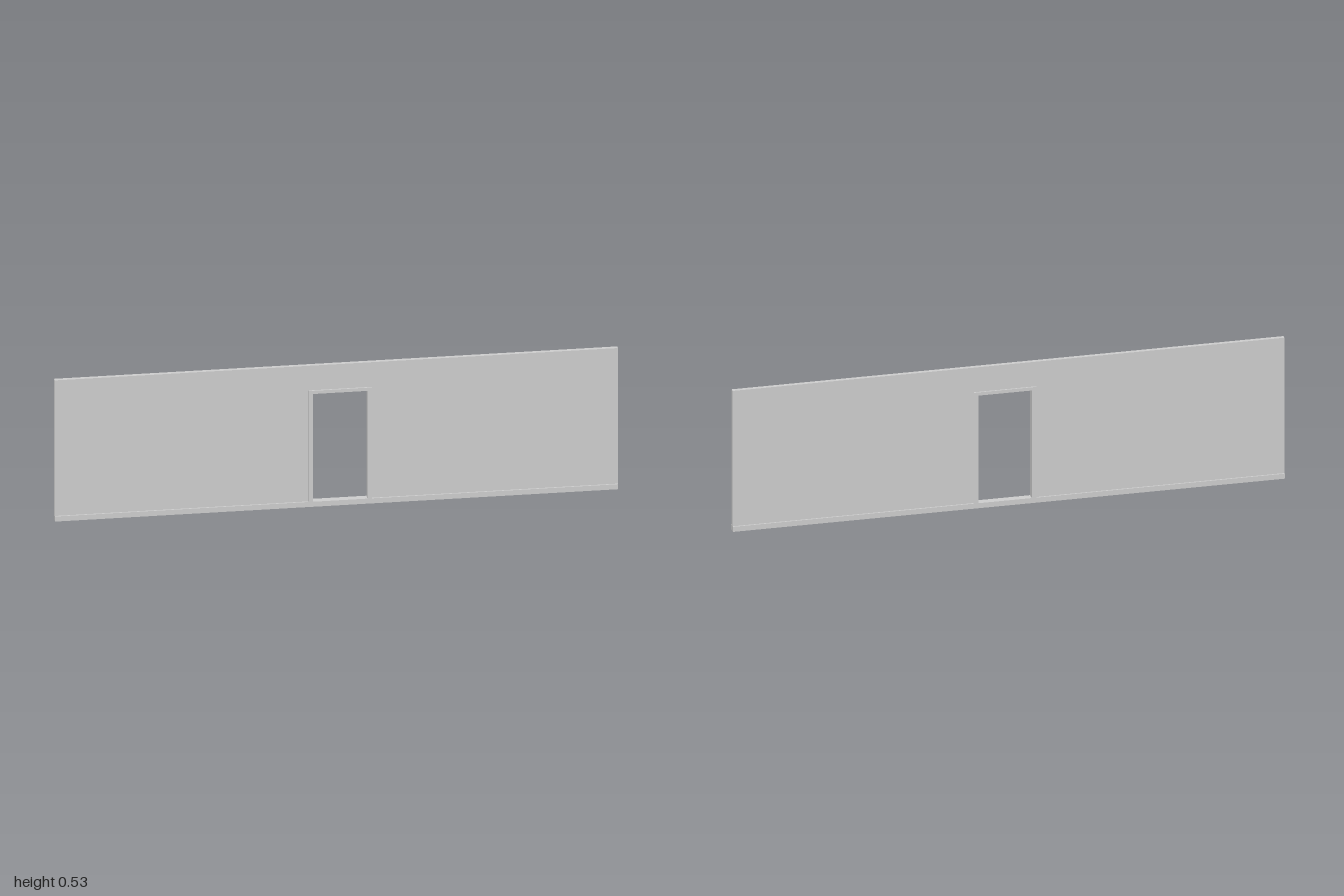
import * as THREE from 'three';

const material = new THREE.MeshStandardMaterial({ color: 0xcccccc, flatShading: true });

// Doorway opening and the outline of its surround
const opening = { left: -0.083, right: 0.11, top: 0.426 };
const surround = { left: -0.1, right: 0.126, top: 0.438 };
const skirtingHeight = 0.019;

// Upside-down U-shaped panel standing on the skirting, with a doorway cut from its lower edge
function archPanel(name, outer, inner, zBack, zFront) {
  const y = skirtingHeight;
  const shape = new THREE.Shape([
    [outer.left, y], [inner.left, y], [inner.left, inner.top], [inner.right, inner.top],
    [inner.right, y], [outer.right, y], [outer.right, outer.top], [outer.left, outer.top],
  ].map(([px, py]) => new THREE.Vector2(px, py)));
  const geometry = new THREE.ExtrudeGeometry(shape, { depth: zFront - zBack, bevelEnabled: false });
  geometry.translate(0, 0, zBack);
  const mesh = new THREE.Mesh(geometry, material);
  mesh.name = name;
  return mesh;
}

export function createModel() {
  const group = new THREE.Group();
  group.name = 'wallWithDoorway';

  // Thin wall panel around the doorway
  group.add(archPanel('wall', { left: -1, right: 1, top: 0.531 }, surround, -0.008, 0.008));

  // Door surround, proud of the wall on both faces
  group.add(archPanel('doorFrame', surround, opening, -0.014, 0.014));

  // Skirting along the whole base, forming the threshold
  const skirting = new THREE.Mesh(new THREE.BoxGeometry(2, skirtingHeight, 0.028), material);
  skirting.name = 'skirting';
  skirting.position.y = skirtingHeight / 2;
  group.add(skirting);

  return group;
}
